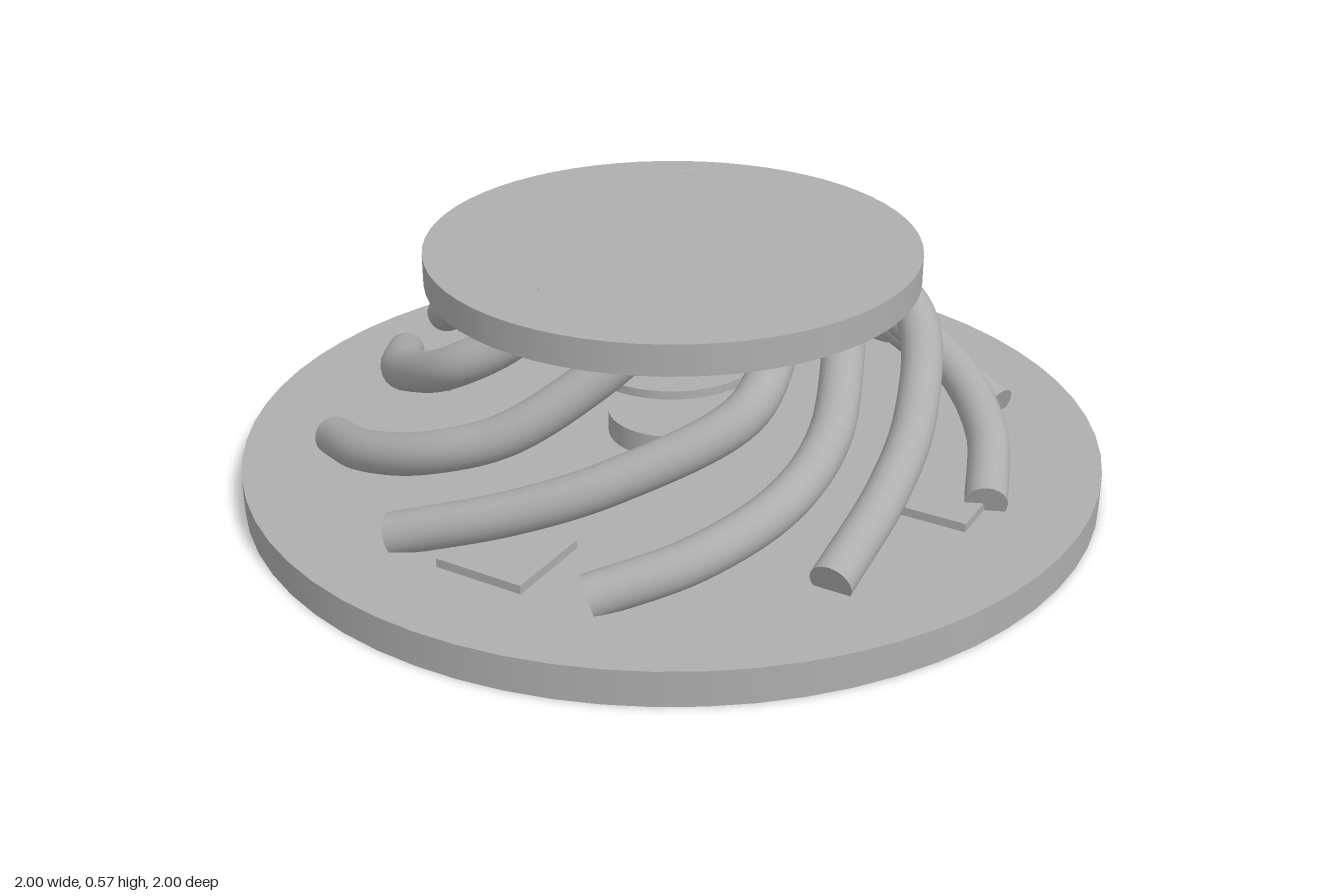
import * as THREE from 'three';

export function createModel() {
  const model = new THREE.Group();
  const grey = new THREE.MeshStandardMaterial({ color: 0xaeaeae });
  grey.name = 'stone grey';

  const add = (name, geometry, x = 0, y = 0, z = 0) => {
    const mesh = new THREE.Mesh(geometry, grey);
    mesh.name = name;
    mesh.position.set(x, y, z);
    model.add(mesh);
    return mesh;
  };
  const disc = (name, radius, bottom, top, x = 0, z = 0) =>
    add(name, new THREE.CylinderGeometry(radius, radius, top - bottom, 64), x, (bottom + top) / 2, z);

  // Round plates and the small centre hub
  disc('base', 1, 0, 0.08);
  disc('topPlate', 0.56, 0.5, 0.57, 0.02, 0.03);
  disc('hub', 0.15, 0.08, 0.135);
  disc('innerDisc', 0.205, 0.257, 0.277);

  // Four square pads on the base
  for (let i = 0; i < 4; i++) {
    const a = (i * Math.PI) / 2;
    add('pad', new THREE.BoxGeometry(0.21, 0.02, 0.21), 0.68 * Math.cos(a), 0.09, 0.68 * Math.sin(a));
  }

  // Twisting struts, two alternating sweeps: [twist in degrees, radius, height]
  const curved = [[0, 0.79, 0.1], [16, 0.735, 0.165], [32, 0.665, 0.23], [47, 0.575, 0.3], [64, 0.47, 0.42], [80, 0.41, 0.53]];
  const straight = [[0, 0.79, 0.1], [19, 0.67, 0.185], [37, 0.61, 0.265], [63, 0.56, 0.385], [74, 0.48, 0.46], [81, 0.4, 0.535]];
  const tubeRadius = 0.047;
  for (let k = 0; k < 10; k++) {
    const points = (k % 2 ? straight : curved).map(([twist, r, y]) => {
      const a = THREE.MathUtils.degToRad(k * 36 - twist);
      return new THREE.Vector3(r * Math.cos(a), y, r * Math.sin(a));
    });
    const path = new THREE.CatmullRomCurve3(points);
    add('strut', new THREE.TubeGeometry(path, 48, tubeRadius, 20));

    // End caps
    for (const t of [0, 1]) {
      const p = path.getPointAt(t);
      const cap = add('strutCap', new THREE.CircleGeometry(tubeRadius, 20), p.x, p.y, p.z);
      const outward = path.getTangentAt(t).multiplyScalar(t ? 1 : -1);
      cap.quaternion.setFromUnitVectors(new THREE.Vector3(0, 0, 1), outward);
    }
  }
  return model;
}
